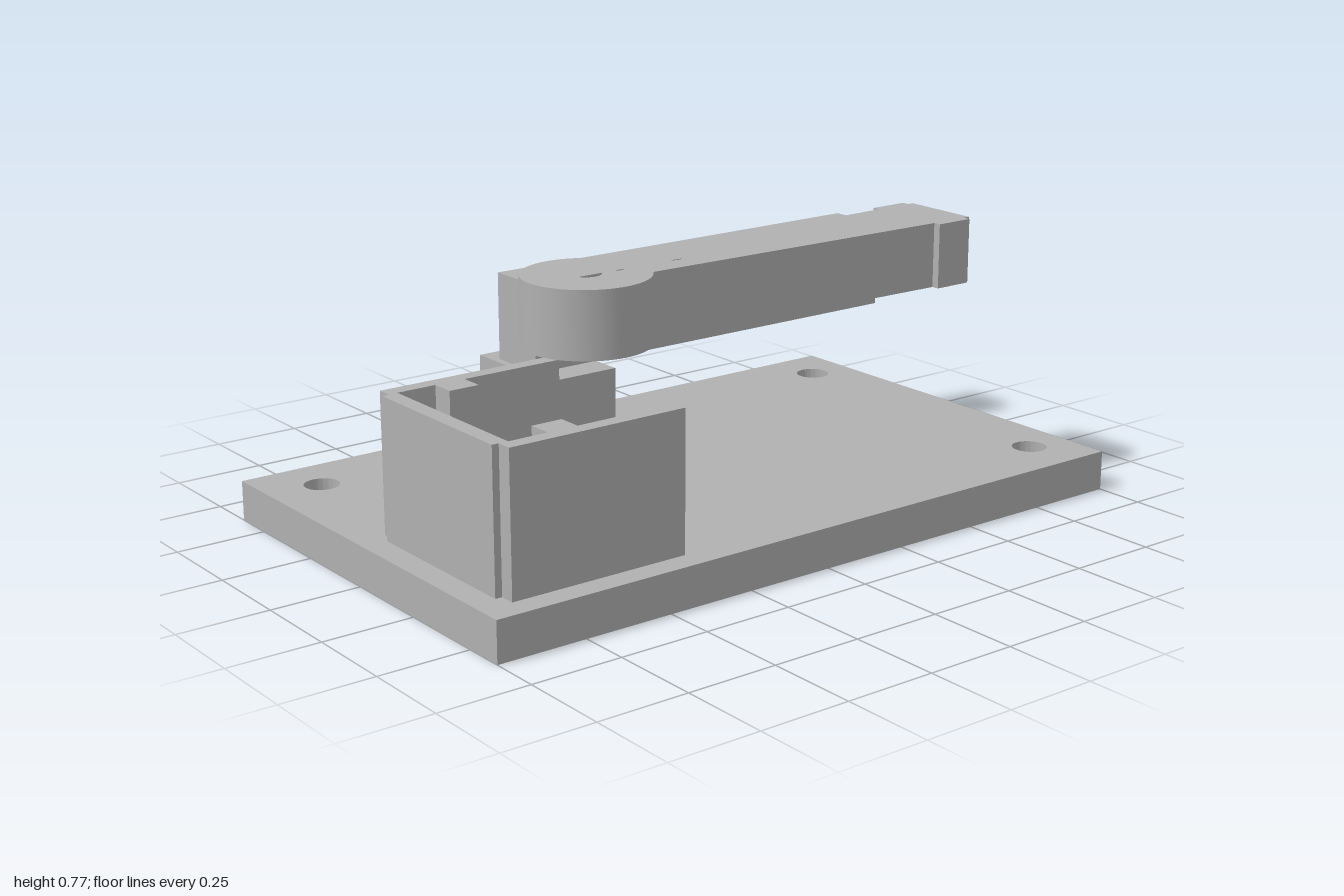
import * as THREE from 'three';
import { toCreasedNormals } from 'three/addons/utils/BufferGeometryUtils.js';

const grey = new THREE.MeshStandardMaterial({ color: 0xb0b0b0 });
grey.name = 'plain grey';

// Plan outlines are drawn as (x, z) and extruded between two heights.
function slab(name, shape, bottom, top) {
  const g = new THREE.ExtrudeGeometry(shape, { depth: top - bottom, bevelEnabled: false, curveSegments: 40 });
  g.rotateX(Math.PI / 2).translate(0, top, 0);
  const mesh = new THREE.Mesh(toCreasedNormals(g, 0.5), grey);
  mesh.name = name;
  return mesh;
}

function outline(points) {
  return new THREE.Shape(points.map(([x, z]) => new THREE.Vector2(x, z)));
}

// Closed outline symmetric about x = cx, from its half given as (offset, z)
function mirrored(cx, half) {
  return [
    ...half.map(([d, z]) => [cx + d, z]),
    ...half.slice().reverse().map(([d, z]) => [cx - d, z]),
  ];
}

function drill(shape, x, z, r) {
  shape.holes.push(new THREE.Path().absarc(x, z, r, 0, Math.PI * 2, true));
}

function box(name, x0, x1, y0, y1, z0, z1) {
  const mesh = new THREE.Mesh(new THREE.BoxGeometry(x1 - x0, y1 - y0, z1 - z0), grey);
  mesh.position.set((x0 + x1) / 2, (y0 + y1) / 2, (z0 + z1) / 2);
  mesh.name = name;
  return mesh;
}

export function createModel() {
  const model = new THREE.Group();
  model.name = 'leverMechanism';

  // Base plate with four screw holes
  const base = outline(mirrored(0, [[0.613, -1], [0.613, 1]]));
  for (const x of [-0.461, 0.459]) for (const z of [-0.872, 0.844]) drill(base, x, z, 0.048);
  model.add(slab('basePlate', base, 0, 0.11));

  // Post carrying the long beam
  model.add(box('post', -0.397, -0.069, 0.11, 0.4, 0.165, 0.38));
  model.add(box('beam', -0.33, -0.157, 0.4, 0.64, -0.846, 0.36));

  // U-shaped holder with stepped front corners and inner tabs
  const holder = outline(mirrored(0.262, [
    [0.242, 0.931], [0.242, 0.912], [0.284, 0.912], [0.284, 0.407], [0.243, 0.407],
    [0.243, 0.693], [0.178, 0.693], [0.178, 0.778], [0.243, 0.778], [0.243, 0.887],
  ]));
  model.add(slab('holder', holder, 0.11, 0.485));

  // Lever arm: round hub, tapered shank, stepped head
  const cx = 0.262, hubZ = 0.492, hubR = 0.164, neck = 0.087;
  const a = Math.asin(neck / hubR);
  const half = [[neck, hubZ - hubR * Math.cos(a)], [0.109, -0.566], [0.13, -0.566], [0.13, -0.675], [0.11, -0.675], [0.11, -0.693]];
  const arm = outline(mirrored(cx, half));
  arm.absarc(cx, hubZ, hubR, Math.PI * 1.5 - a, -Math.PI / 2 + a, true);
  drill(arm, cx, hubZ, 0.039);
  drill(arm, cx, 0.405, 0.024);
  drill(arm, cx, 0.228, 0.024);
  model.add(slab('leverArm', arm, 0.597, 0.772));

  return model;
}
